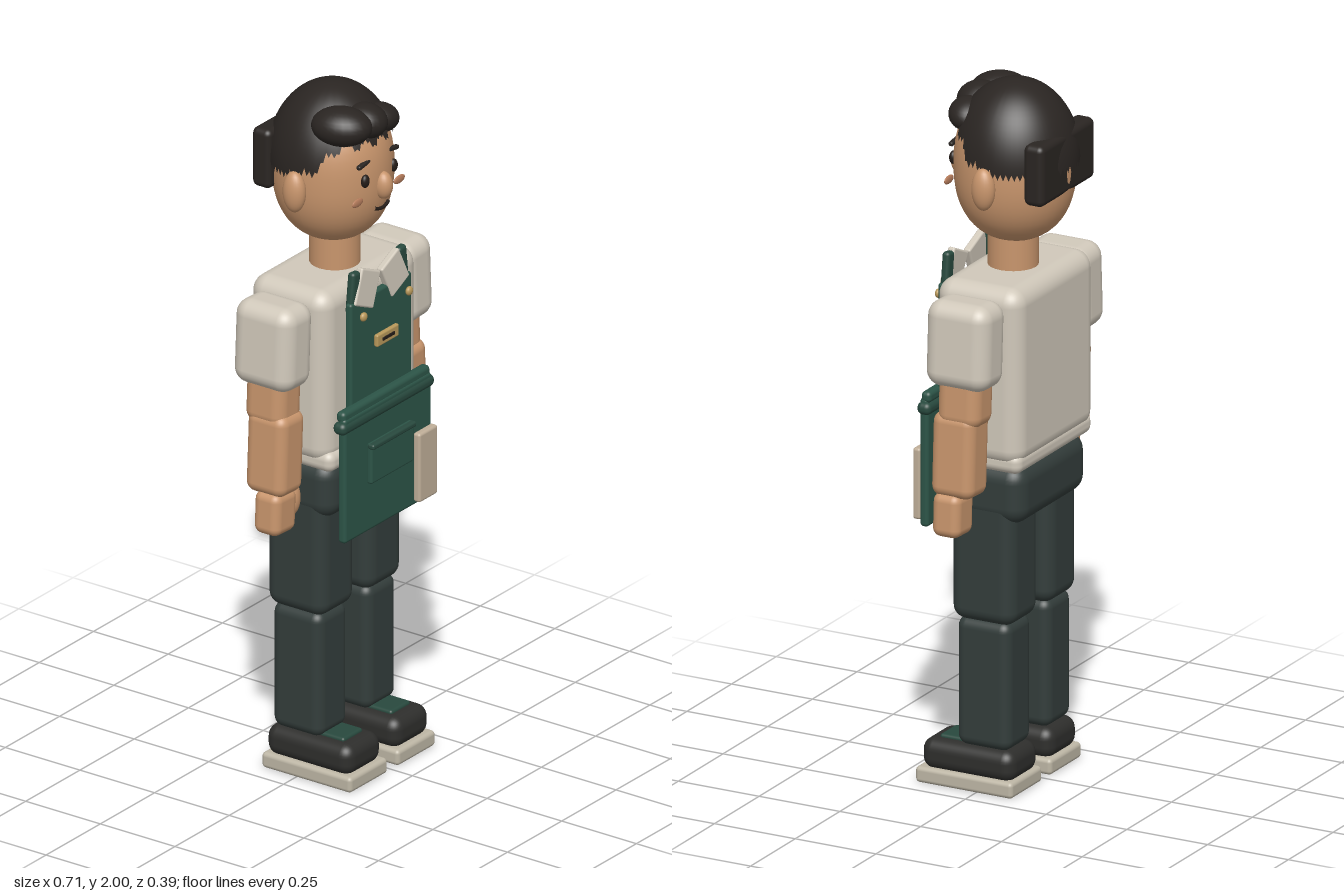
import * as THREE from 'three';
import { RoundedBoxGeometry } from 'three/addons/geometries/RoundedBoxGeometry.js';

const mat = (color, side = THREE.FrontSide) => new THREE.MeshStandardMaterial({ color, side });
const SHIRT = mat(0xd0c8ba), SKIN = mat(0xc8956c), HAIR = mat(0x2a2522, THREE.DoubleSide), PANTS = mat(0x333d3b),
  APRON = mat(0x2c5447), TRIM = mat(0x28493e), SHOE = mat(0x2e2e2c), SOLE = mat(0xbdb6a5),
  GOLD = mat(0xb8985a), CLOTH = mat(0xbfae98), DARK = mat(0x241c18), BLUSH = mat(0xb97f5e);

export function createModel() {
  const model = new THREE.Group();
  model.name = 'shopkeeper';

  const add = (name, geo, material, pos, rot = [0, 0, 0]) => {
    const mesh = new THREE.Mesh(geo, material);
    mesh.name = name;
    mesh.position.set(...pos);
    mesh.rotation.set(...rot);
    model.add(mesh);
    return mesh;
  };
  const box = (name, material, size, pos, r = 0.03, rot) =>
    add(name, new RoundedBoxGeometry(...size, 4, Math.min(r, Math.min(...size) * 0.49)), material, pos, rot);
  const ball = (name, material, radii, pos, rot) =>
    add(name, new THREE.SphereGeometry(1, 24, 16).scale(...radii), material, pos, rot);

  // Torso, hem, neck and hips
  box('torso', SHIRT, [0.44, 0.51, 0.265], [0, 1.213, -0.015], 0.05);
  box('shirtHem', SHIRT, [0.42, 0.06, 0.272], [0, 0.968, -0.007], 0.025);
  add('neck', new THREE.CylinderGeometry(0.07, 0.07, 0.13, 24), SKIN, [0, 1.51, -0.01]);
  box('hips', PANTS, [0.385, 0.17, 0.25], [0, 0.865, -0.015], 0.05);

  // Limbs, mirrored
  for (const s of [-1, 1]) {
    const side = s > 0 ? 'left' : 'right';
    box(side + 'Sleeve', SHIRT, [0.135, 0.245, 0.195], [s * 0.278, 1.325, -0.015], 0.045, [0, 0, s * 0.05]);
    box(side + 'UpperArm', SKIN, [0.112, 0.2, 0.13], [s * 0.275, 1.19, -0.015], 0.035, [0, 0, s * 0.05]);
    box(side + 'Forearm', SKIN, [0.112, 0.24, 0.13], [s * 0.285, 1.01, -0.003], 0.03, [0, 0, s * 0.05]);
    box(side + 'Hand', SKIN, [0.1, 0.125, 0.085], [s * 0.302, 0.84, 0.01], 0.025, [0, 0, s * 0.05]);
    ball(side + 'Thumb', SKIN, [0.027, 0.055, 0.03], [s * 0.245, 0.86, 0.018]);

    box(side + 'Thigh', PANTS, [0.165, 0.4, 0.195], [s * 0.108, 0.685, -0.012], 0.04);
    box(side + 'Shin', PANTS, [0.138, 0.37, 0.165], [s * 0.112, 0.308, -0.012], 0.03);
    box(side + 'Shoe', SHOE, [0.162, 0.09, 0.285], [s * 0.11, 0.082, 0.033], 0.035);
    box(side + 'Sole', SOLE, [0.175, 0.046, 0.3], [s * 0.11, 0.023, 0.036], 0.012);
    box(side + 'ShoeTongue', TRIM, [0.09, 0.02, 0.085], [s * 0.11, 0.126, 0.09], 0.008);
  }

  // Apron
  box('apronSkirt', APRON, [0.4, 0.37, 0.026], [0, 0.925, 0.157], 0.01);
  box('apronBib', APRON, [0.28, 0.33, 0.022], [0, 1.26, 0.136], 0.008);
  box('apronBelt', TRIM, [0.425, 0.036, 0.042], [0, 1.082, 0.154], 0.016);
  box('apronWaistband', APRON, [0.4, 0.032, 0.03], [0, 1.113, 0.152], 0.012);
  box('apronPocket', APRON, [0.197, 0.12, 0.018], [0, 0.945, 0.176], 0.007);
  box('pocketEdge', TRIM, [0.2, 0.016, 0.022], [0, 0.997, 0.182], 0.006);
  box('hangingCloth', CLOTH, [0.085, 0.205, 0.024], [0.152, 0.858, 0.183], 0.008);
  box('nameTag', GOLD, [0.1, 0.036, 0.014], [0, 1.29, 0.163], 0.005);
  box('nameTagStripe', DARK, [0.056, 0.01, 0.004], [0, 1.29, 0.171], 0.002);
  for (const s of [-1, 1]) {
    box('apronStrap', TRIM, [0.036, 0.12, 0.024], [s * 0.112, 1.45, 0.132], 0.01, [0, 0, s * 0.12]);
    ball('strapButton', GOLD, [0.013, 0.013, 0.009], [s * 0.105, 1.383, 0.163]);
    box('collarFlap', SHIRT, [0.09, 0.105, 0.022], [s * 0.064, 1.448, 0.138], 0.006, [-0.06, 0, s * 0.42]);
  }

  // Head: an egg with a fuller jaw
  const headGeo = new THREE.SphereGeometry(1, 40, 28);
  const p = headGeo.attributes.position;
  for (let i = 0; i < p.count; i++) {
    const y = p.getY(i), r = Math.hypot(p.getX(i), p.getZ(i)) || 1;
    const full = Math.pow(Math.max(0, 1 - Math.pow(Math.abs(y), 2.4)), 1 / 2.2) / r;
    p.setXYZ(i, p.getX(i) * full * 0.165, y * 0.212, p.getZ(i) * full * 0.168);
  }
  headGeo.computeVertexNormals();
  add('head', headGeo, SKIN, [0, 1.755, -0.016]);

  // Hair cap: a dome whose lower rim follows a jagged hairline
  const capGeo = new THREE.SphereGeometry(1, 72, 20);
  const c = capGeo.attributes.position, uv = capGeo.attributes.uv;
  for (let i = 0; i < c.count; i++) {
    const a = uv.getX(i) * Math.PI * 2, t = 1 - uv.getY(i);
    const front = Math.cos(a); // 1 at the face, -1 at the nape
    const jag = front > -0.1 ? 0.028 * Math.abs(((uv.getX(i) * 18) % 1) * 2 - 1) : 0;
    const rim = -0.015 + 0.085 * THREE.MathUtils.smoothstep(front, 0.15, 0.75) + jag;
    const theta = t * Math.acos(rim / 0.22);
    c.setXYZ(i, 0.176 * Math.sin(theta) * Math.sin(a), 0.22 * Math.cos(theta), 0.177 * Math.sin(theta) * front);
  }
  capGeo.computeVertexNormals();
  add('hairCap', capGeo, HAIR, [0, 1.78, -0.018]);
  box('napeHair', HAIR, [0.3, 0.175, 0.062], [0, 1.785, -0.152], 0.018);
  ball('quiffLarge', HAIR, [0.066, 0.054, 0.085], [-0.088, 1.922, 0.077], [0, 0.35, 0]);
  ball('quiffMiddle', HAIR, [0.062, 0.05, 0.066], [-0.012, 1.917, 0.098], [0, 0, -0.2]);
  ball('quiffSmall', HAIR, [0.06, 0.042, 0.054], [0.06, 1.9, 0.096], [0, 0.3, -0.3]);

  // Face
  ball('nose', SKIN, [0.025, 0.04, 0.028], [0, 1.735, 0.152]);
  for (const s of [-1, 1]) {
    const side = s > 0 ? 'left' : 'right';
    ball(side + 'Ear', SKIN, [0.028, 0.06, 0.034], [s * 0.178, 1.735, -0.016]);
    ball(side + 'Eye', DARK, [0.014, 0.019, 0.011], [s * 0.065, 1.766, 0.139]);
    box(side + 'Brow', HAIR, [0.052, 0.013, 0.014], [s * 0.066, 1.815, 0.134], 0.005, [0, 0, -s * 0.15]);
    ball(side + 'Cheek', BLUSH, [0.025, 0.012, 0.005], [s * 0.096, 1.712, 0.136]);
  }
  const smile = new THREE.QuadraticBezierCurve3(
    new THREE.Vector3(-0.032, 1.675, 0.146), new THREE.Vector3(0, 1.659, 0.153), new THREE.Vector3(0.032, 1.675, 0.146));
  add('mouth', new THREE.TubeGeometry(smile, 12, 0.005, 8), DARK, [0, 0, 0]);

  return model;
}
